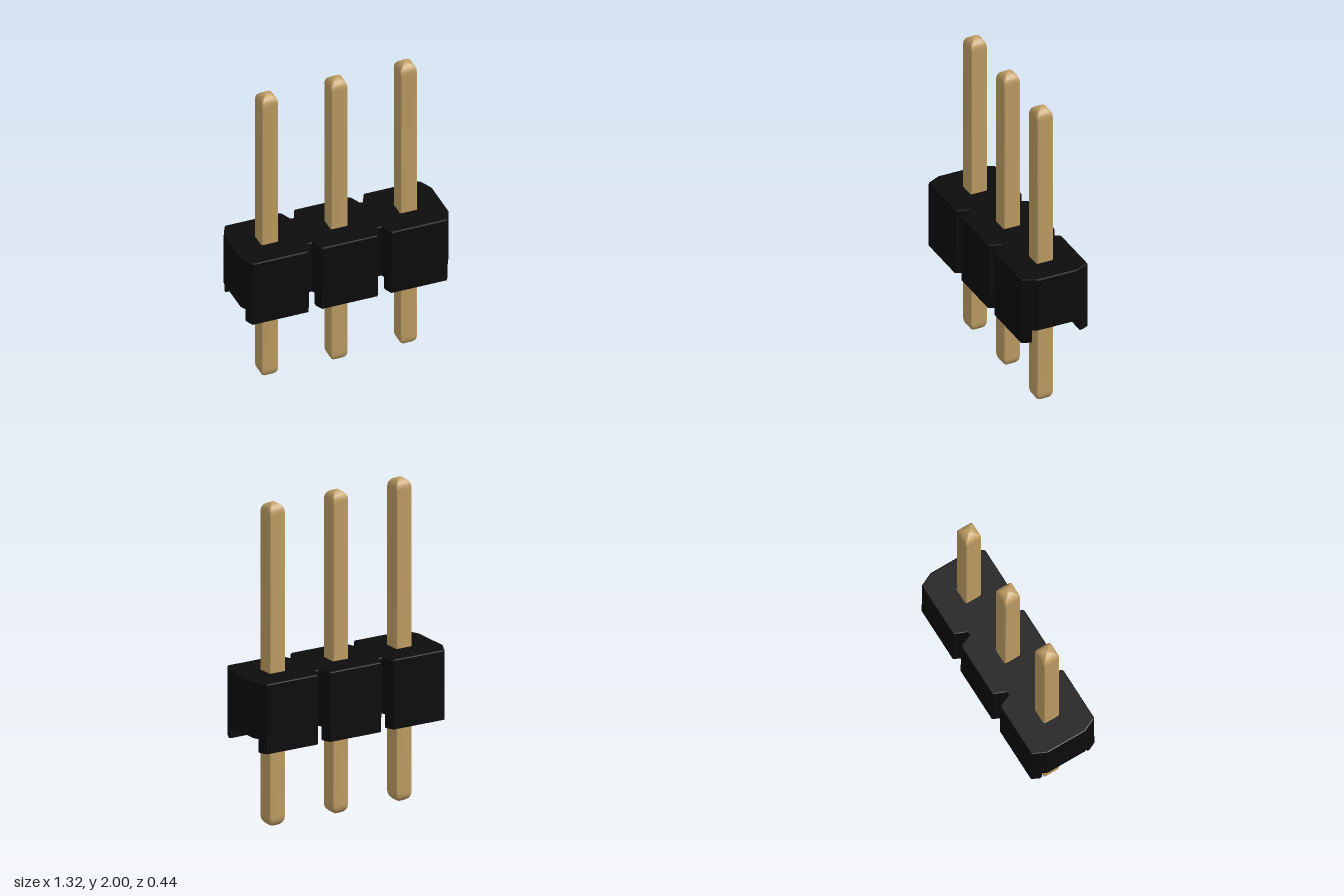
import * as THREE from 'three';

const PITCH = 0.44;
const CELLS = [-PITCH, 0, PITCH];
const PIN = 0.055; // half width of a pin

const plastic = new THREE.MeshStandardMaterial({ color: 0x0c0c0c });
plastic.name = 'black plastic';
const brass = new THREE.MeshStandardMaterial({ color: 0xc2a066 });
brass.name = 'brass';

// Extrude a plan outline upwards from y0 to y1 with a fine bevel
function extrudeUp(shape, y0, y1, bevel) {
  const geo = new THREE.ExtrudeGeometry(shape, {
    depth: y1 - y0 - 2 * bevel, bevelEnabled: true, bevelSize: bevel,
    bevelThickness: bevel, bevelOffset: -bevel, bevelSegments: 2,
  });
  geo.rotateX(-Math.PI / 2);
  geo.translate(0, y0 + bevel, 0);
  return geo;
}

const toShape = (pts) => new THREE.Shape(pts.map(([x, y]) => new THREE.Vector2(x, y)));

// Housing plan: three chamfered cells joined by narrow necks, with square pin holes
function housingGeometry() {
  const edge = [];
  CELLS.forEach((c, i) => {
    const left = i === 0 ? [c - 0.22, 0.13] : [c - 0.21, 0.142];
    const right = i === 2 ? [c + 0.22, 0.13] : [c + 0.21, 0.142];
    edge.push(left, [c - 0.181, 0.212], [c - 0.172, 0.219], [c + 0.172, 0.219], [c + 0.181, 0.212], right);
  });
  const mirrored = edge.map(([x, y]) => [x, -y]);
  const shape = toShape([...mirrored, ...edge.reverse()]);
  const h = PIN - 0.006;
  for (const c of CELLS) {
    shape.holes.push(new THREE.Path([[c - h, -h], [c - h, h], [c + h, h], [c + h, -h]]
      .map(([x, y]) => new THREE.Vector2(x, y))));
  }
  return extrudeUp(shape, 0.61, 0.96, 0.007);
}

// Pin: rounded-square rings lofted along the height, with domed ends
function pinGeometry() {
  const ring = [];
  const r = 0.012;
  for (let q = 0; q < 4; q++) {
    const mid = Math.PI / 4 + q * Math.PI / 2;
    for (let k = 0; k < 4; k++) {
      const a = q * Math.PI / 2 + k * Math.PI / 6;
      ring.push([
        Math.sign(Math.cos(mid)) * (PIN - r) + r * Math.cos(a),
        Math.sign(Math.sin(mid)) * (PIN - r) + r * Math.sin(a),
      ]);
    }
  }
  const dome = [[0, 0], [0.003, 0.3], [0.011, 0.58], [0.024, 0.82], [0.038, 0.95], [0.055, 1], [0.07, 1]];
  const profile = [...dome, ...dome.map(([y, s]) => [2 - y, s]).reverse()];
  const n = ring.length;
  const pos = [];
  const index = [];
  profile.forEach(([y, s], j) => {
    ring.forEach(([x, z], i) => {
      pos.push(x * s, y, z * s);
      if (j === 0) return;
      const a = (j - 1) * n + i, b = (j - 1) * n + (i + 1) % n;
      index.push(a, a + n, b, b, a + n, b + n);
    });
  });
  const geo = new THREE.BufferGeometry();
  geo.setAttribute('position', new THREE.Float32BufferAttribute(pos, 3));
  geo.setIndex(index);
  geo.computeVertexNormals();
  return geo;
}

export function createModel() {
  const model = new THREE.Group();
  model.name = 'pinHeader';
  const add = (name, geo, mat, x = 0) => {
    const mesh = new THREE.Mesh(geo, mat);
    mesh.name = name;
    mesh.position.x = x;
    model.add(mesh);
  };

  add('housing', housingGeometry(), plastic);

  // Two standoff feet below each cell, one at the front and one at the back
  const footPlan = [[-0.198, 0.156], [0.198, 0.156], [0.198, 0.172], [0.176, 0.218], [-0.176, 0.218], [-0.198, 0.172]];
  const backFoot = extrudeUp(toShape(footPlan), 0.527, 0.65, 0.003);
  const frontFoot = backFoot.clone().rotateY(Math.PI);
  const pin = pinGeometry();
  for (const c of CELLS) {
    add('frontFoot', frontFoot, plastic, c);
    add('backFoot', backFoot, plastic, c);
    add('pin', pin, brass, c);
  }
  return model;
}
